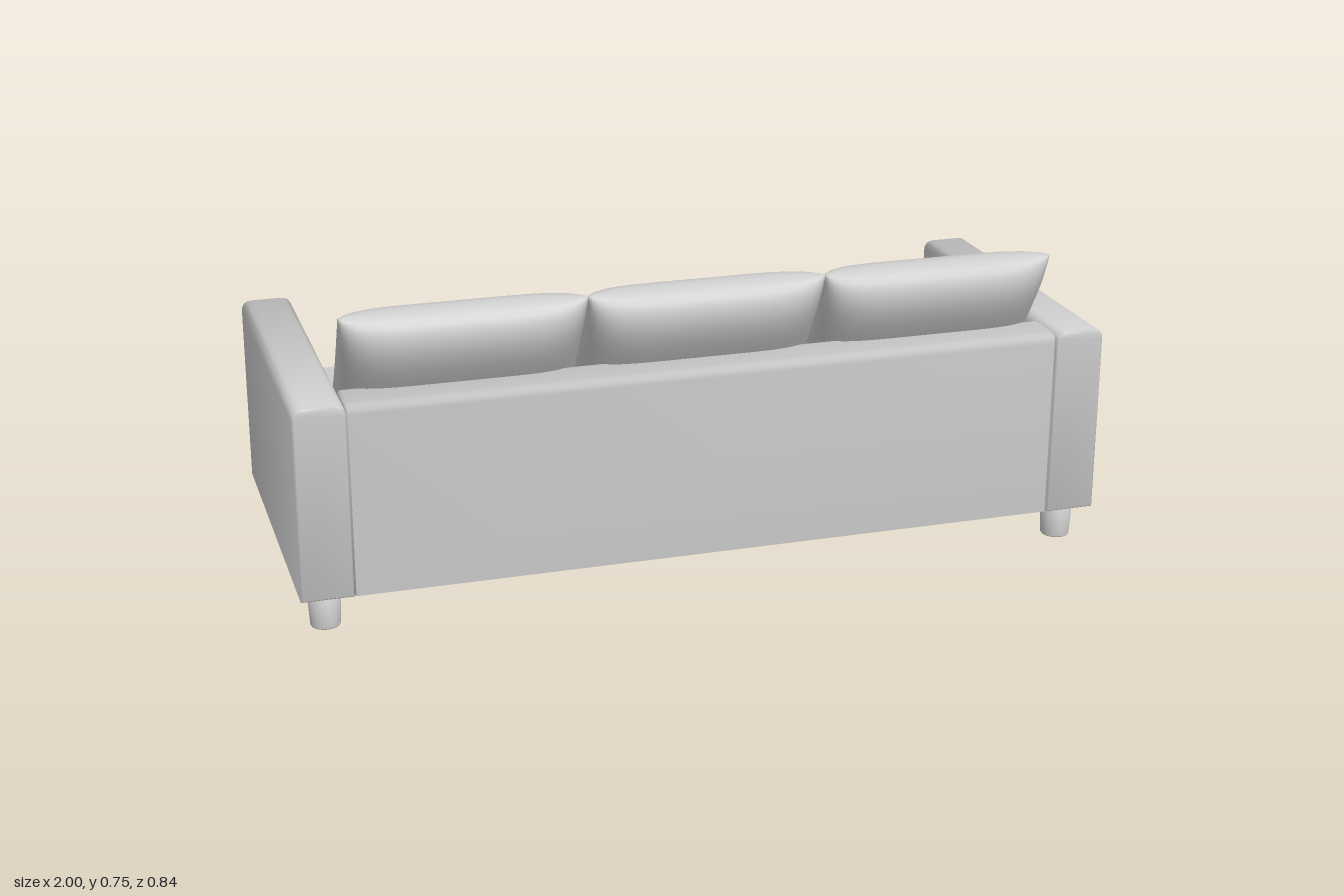
import * as THREE from 'three';
import { RoundedBoxGeometry } from 'three/addons/geometries/RoundedBoxGeometry.js';
import { mergeGeometries, mergeVertices, toCreasedNormals } from 'three/addons/utils/BufferGeometryUtils.js';

const material = new THREE.MeshStandardMaterial({ color: 0xcccccc });

function add(parent, name, geometry, x, y, z) {
  const mesh = new THREE.Mesh(geometry, material);
  mesh.name = name;
  mesh.position.set(x, y, z);
  parent.add(mesh);
  return mesh;
}

// Upholstered slab standing on y = 0: rounded top edges, square bottom, soft shading
function slab(width, height, depth, r) {
  const bevel = 0.004, w = width / 2 - bevel, top = height - bevel;
  const shape = new THREE.Shape();
  shape.moveTo(-w, bevel);
  shape.lineTo(w, bevel);
  shape.lineTo(w, top - r);
  shape.quadraticCurveTo(w, top, w - r, top);
  shape.lineTo(-w + r, top);
  shape.quadraticCurveTo(-w, top, -w, top - r);
  shape.closePath();
  const geometry = new THREE.ExtrudeGeometry(shape, {
    depth: depth - 2 * bevel, bevelSize: bevel, bevelThickness: bevel, bevelSegments: 1, curveSegments: 4,
  });
  geometry.translate(0, 0, -depth / 2 + bevel);
  return toCreasedNormals(geometry, 1.2);
}

// Plump pillow: two domed sheets joined at a slightly pinched rim
function pillowGeometry(width, height, thickness) {
  const sheets = [1, -1].map((side) => {
    const sheet = new THREE.PlaneGeometry(2, 2, 24, 24);
    if (side < 0) sheet.rotateY(Math.PI);
    const p = sheet.attributes.position;
    for (let i = 0; i < p.count; i++) {
      const u = Math.sin(p.getX(i) * Math.PI / 2), v = Math.sin(p.getY(i) * Math.PI / 2);
      const dome = Math.sqrt(Math.max(0, (1 - u ** 6) * (1 - v ** 4)));
      p.setXYZ(i,
        u * (width / 2) * (1 - 0.016 * (1 - v * v)),
        v * (height / 2) * (1 - 0.045 * (1 - u ** 6)),
        side * (dome < 1e-6 ? 0 : dome) * thickness / 2);
    }
    sheet.deleteAttribute('uv');
    sheet.deleteAttribute('normal');
    return sheet;
  });
  const geometry = mergeVertices(mergeGeometries(sheets), 1e-4);
  geometry.computeVertexNormals();
  return geometry;
}

export function createModel() {
  const sofa = new THREE.Group();
  sofa.name = 'sofa';

  // Base frame and backrest (the backrest stands on the +z side)
  add(sofa, 'base', new THREE.BoxGeometry(1.75, 0.153, 0.695), 0, 0.1685, -0.0525);
  const back = slab(0.125, 0.47, 1.75, 0.02);
  back.rotateY(Math.PI / 2);
  add(sofa, 'backrest', back, 0, 0.092, 0.3535);

  // Arms and their tapered feet
  const arm = slab(0.125, 0.473, 0.84, 0.022);
  const footProfile = [[0, 0], [0.034, 0], [0.036, 0.003], [0.041, 0.094], [0, 0.094]];
  const foot = new THREE.LatheGeometry(footProfile.map(([x, y]) => new THREE.Vector2(x, y)), 20);
  for (const side of [1, -1]) {
    const name = side > 0 ? 'left' : 'right';
    add(sofa, name + 'Arm', arm, side * 0.9375, 0.092, 0);
    add(sofa, name + 'BackFoot', foot, side * 0.936, 0, 0.348);
    add(sofa, name + 'FrontFoot', foot, side * 0.936, 0, -0.339);
  }

  // Three seat cushions, each with a leaning pillow
  const seat = new RoundedBoxGeometry(0.583, 0.138, 0.685, 4, 0.02);
  const pillow = pillowGeometry(0.585, 0.425, 0.16);
  for (let i = -1; i <= 1; i++) {
    add(sofa, 'seatCushion', seat, i * 0.583, 0.313, -0.0425);
    add(sofa, 'backPillow', pillow, i * 0.583, 0.57, 0.24).rotation.x = 0.576;
  }
  return sofa;
}
